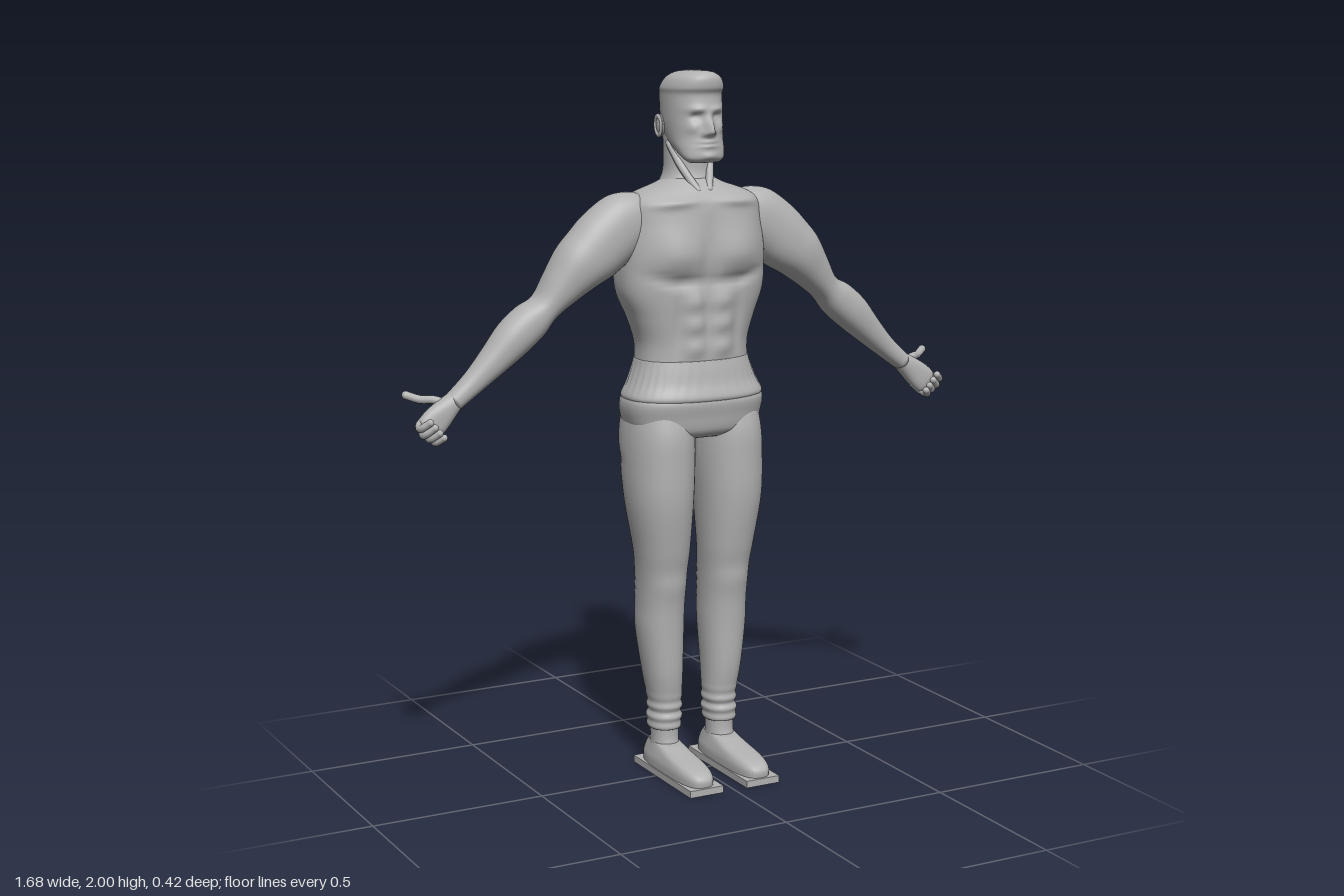
import * as THREE from 'three';
import { mergeGeometries } from 'three/addons/utils/BufferGeometryUtils.js';

const V = (x, y, z) => new THREE.Vector3(x, y, z);
const gauss = (v, c, s) => Math.exp(-(((v - c) / s) ** 2));
const clamp01 = (v) => Math.min(1, Math.max(0, v));

// Smooth skin over rings [y, centreX, halfWidth, zFront, zBack, exponent], bottom to top, with an optional sculpting rule.
function loft(rings, { seg = 48, sub = 5, sculpt } = {}) {
  const rows = [];
  const at = (i) => rings[Math.min(rings.length - 1, Math.max(0, i))];
  for (let i = 0; i < rings.length - 1; i++) {
    for (let k = 0; k < sub; k++) {
      const t = k / sub;
      rows.push([0, 1, 2, 3, 4, 5].map((c) => {
        const [a, b, d, e] = [i - 1, i, i + 1, i + 2].map((j) => at(j)[c] ?? 2.2);
        return 0.5 * (2 * b + (d - a) * t + (2 * a - 5 * b + 4 * d - e) * t * t + (3 * b - a - 3 * d + e) * t ** 3);
      }));
    }
  }
  rows.push(at(rings.length - 1).concat(2.2).slice(0, 6));
  const pos = [], index = [];
  const pw = (v, e) => Math.sign(v) * Math.abs(v) ** (2 / e);
  for (const [y, cx, hw, zf, zb, e] of rows) {
    for (let j = 0; j < seg; j++) {
      const a = (j / seg) * Math.PI * 2;
      const p = V(cx + hw * pw(Math.cos(a), e), y, (zf + zb) / 2 + ((zf - zb) / 2) * pw(Math.sin(a), e));
      if (sculpt) sculpt(p, a);
      pos.push(p.x, p.y, p.z);
    }
  }
  const last = rows.length - 1, n = rows.length * seg;
  for (const r of [rows[0], rows[last]]) pos.push(r[1], r[0], (r[3] + r[4]) / 2);
  for (let j = 0; j < seg; j++) {
    const k = (j + 1) % seg;
    for (let i = 0; i < last; i++) {
      const a = i * seg + j, b = i * seg + k;
      index.push(a, a + seg, b, b, a + seg, b + seg);
    }
    index.push(n, j, k, n + 1, last * seg + k, last * seg + j);
  }
  const g = new THREE.BufferGeometry();
  g.setAttribute('position', new THREE.Float32BufferAttribute(pos, 3));
  g.setIndex(index);
  g.computeVertexNormals();
  return g;
}

// Round-ended tube through points
function rod(points, r) {
  const parts = [new THREE.TubeGeometry(new THREE.CatmullRomCurve3(points), 14, r, 10)];
  for (const p of [points[0], points[points.length - 1]]) {
    parts.push(new THREE.SphereGeometry(r, 10, 8).translate(p.x, p.y, p.z));
  }
  return mergeGeometries(parts);
}

// Copy reflected across x = 0, with the faces turned back outward
function mirrored(g) {
  const m = g.clone().scale(-1, 1, 1);
  const ix = m.index.array;
  for (let i = 0; i < ix.length; i += 3) [ix[i], ix[i + 1]] = [ix[i + 1], ix[i]];
  m.computeVertexNormals();
  return m;
}

export function createModel() {
  const model = new THREE.Group();
  const grey = new THREE.MeshStandardMaterial({ color: 0xb2b2b2 });
  grey.name = 'plain grey';
  const add = (name, geo) => {
    const mesh = new THREE.Mesh(geo, grey);
    mesh.name = name;
    model.add(mesh);
  };
  const pair = (name, geo) => {
    add('left' + name, geo);
    add('right' + name, mirrored(geo));
  };

  // Head: hair ledge, brow, eye sockets, nose, mouth and chin pushed out of one skin
  add('head', loft([
    [1.752, 0, 0.045, 0.05, 0], [1.765, 0, 0.06, 0.06, -0.02], [1.79, 0, 0.069, 0.06, -0.07],
    [1.82, 0, 0.074, 0.056, -0.12], [1.86, 0, 0.078, 0.053, -0.145], [1.9, 0, 0.079, 0.052, -0.153],
    [1.935, 0, 0.079, 0.048, -0.154], [1.955, 0, 0.08, 0.057, -0.15], [1.98, 0, 0.068, 0.057, -0.13],
    [1.995, 0, 0.045, 0.043, -0.1], [2, 0, 0.02, 0.02, -0.06],
  ], {
    seg: 96, sub: 7, sculpt: (p) => {
      if (p.z < -0.01) return;
      const ax = Math.abs(p.x), y = p.y;
      p.z += 0.034 * gauss(ax, 0, 0.012) * gauss(y, 1.836, y < 1.836 ? 0.011 : 0.034)
        + 0.009 * gauss(ax, 0.015, 0.008) * gauss(y, 1.832, 0.009)
        + 0.008 * gauss(ax, 0.03, 0.024) * gauss(y, 1.896, 0.009)
        - 0.014 * gauss(ax, 0.031, 0.015) * gauss(y, 1.876, 0.011)
        + 0.006 * gauss(ax, 0.031, 0.009) * gauss(y, 1.873, 0.006)
        + 0.006 * gauss(ax, 0.045, 0.015) * gauss(y, 1.846, 0.014)
        + 0.01 * gauss(ax, 0, 0.024) * gauss(y, 1.803, 0.013)
        - 0.007 * gauss(ax, 0, 0.027) * gauss(y, 1.803, 0.003)
        + 0.008 * gauss(ax, 0, 0.022) * gauss(y, 1.77, 0.012);
    },
  }));
  pair('Ear', mergeGeometries([
    new THREE.SphereGeometry(1, 16, 12).scale(0.009, 0.032, 0.02),
    new THREE.TorusGeometry(0.018, 0.005, 8, 20).rotateY(Math.PI / 2).scale(1, 1.45, 1).translate(0.006, 0, 0),
  ]).rotateX(-0.15).translate(0.079, 1.848, -0.082));

  // Neck with its two front cords
  add('neck', loft([
    [1.62, 0, 0.1, 0.02, -0.16], [1.68, 0, 0.086, 0.01, -0.15], [1.72, 0, 0.069, -0.008, -0.138],
    [1.77, 0, 0.066, -0.01, -0.137], [1.83, 0, 0.066, -0.01, -0.14],
  ]));
  pair('NeckCord', rod([V(0.06, 1.8, -0.065), V(0.045, 1.74, -0.025), V(0.018, 1.675, 0.022)], 0.011));

  // Torso: chest, abdomen, collarbones and back muscles
  add('torso', loft([
    [1.18, 0, 0.166, 0.058, -0.163, 2.4], [1.25, 0, 0.165, 0.058, -0.165, 2.4], [1.32, 0, 0.186, 0.06, -0.172, 2.5],
    [1.4, 0, 0.216, 0.062, -0.187, 2.6], [1.5, 0, 0.217, 0.064, -0.193, 2.7], [1.58, 0, 0.206, 0.062, -0.188, 2.7],
    [1.635, 0, 0.198, 0.056, -0.172, 2.6], [1.665, 0, 0.17, 0.04, -0.155, 2.4], [1.69, 0, 0.1, 0.02, -0.145], [1.705, 0, 0.07, 0, -0.13],
  ], {
    seg: 96, sub: 7, sculpt: (p) => {
      const ax = Math.abs(p.x), y = p.y;
      if (p.z > -0.02) {
        const lower = 1.445 + 0.25 * Math.max(0, ax - 0.1);
        p.z += 0.02 * gauss(ax, 0.09, 0.075) * gauss(y, 1.5, y < 1.5 ? 0.045 : 0.075)
          - 0.014 * gauss(y, lower - 0.018, 0.014) * gauss(ax, 0.085, 0.08)
          - 0.009 * gauss(ax, 0, 0.012) * clamp01((y - 1.22) * 10) * clamp01((1.62 - y) * 10)
          + 0.012 * gauss(y, 1.65 - 0.05 * ax, 0.014) * gauss(ax, 0.1, 0.07);
        for (const row of [1.24, 1.305, 1.37]) p.z += 0.011 * gauss(ax, 0.042, 0.03) * gauss(y, row, 0.026);
        p.z -= 0.007 * gauss(ax, 0.09, 0.014) * gauss(y, 1.31, 0.08);
      } else {
        p.z += 0.016 * gauss(ax, 0, 0.025) * gauss(y, 1.42, 0.17)
          - 0.007 * gauss(ax, 0.1, 0.05) * gauss(y, 1.55, 0.06);
      }
    },
  }));

  // Ribbed waistband flaring over the hips
  add('waistband', loft([
    [1.09, 0, 0.2, 0.08, -0.18, 2.5], [1.105, 0, 0.205, 0.086, -0.183, 2.5], [1.14, 0, 0.188, 0.074, -0.174, 2.4],
    [1.18, 0, 0.173, 0.066, -0.169, 2.4], [1.205, 0, 0.166, 0.06, -0.165, 2.4],
  ], {
    seg: 144, sculpt: (p, a) => {
      const f = 1 + 0.008 * Math.cos(a * 36) * gauss(p.y, 1.15, 0.035);
      p.x *= f;
      p.z *= f;
    },
  }));

  // Seat bulges, shared by hips and thighs
  const seat = (p) => {
    if (p.z > -0.05) return;
    const ax = Math.abs(p.x);
    p.z += 0.035 * gauss(ax, 0, 0.028) * gauss(p.y, 1.01, 0.09)
      - 0.026 * gauss(ax, 0.1, 0.065) * gauss(p.y, 1.03, 0.065)
      + 0.008 * gauss(p.y, 0.915, 0.02);
  };
  add('hips', loft([
    [0.985, 0, 0.13, 0.04, -0.14, 2.6], [1.005, 0, 0.185, 0.068, -0.175, 2.6], [1.05, 0, 0.204, 0.078, -0.185, 2.6],
    [1.09, 0, 0.206, 0.084, -0.182, 2.6], [1.115, 0, 0.19, 0.07, -0.17, 2.5],
  ], { seg: 72, sculpt: seat }));

  // Legs with knee creases at the back and gathered cuffs
  pair('Leg', loft([
    [0.13, 0.09, 0.044, 0.002, -0.1], [0.145, 0.09, 0.047, 0.005, -0.105], [0.21, 0.089, 0.047, 0.006, -0.105],
    [0.3, 0.095, 0.055, 0.018, -0.12], [0.42, 0.1, 0.065, 0.023, -0.137], [0.5, 0.1, 0.066, 0.028, -0.138],
    [0.58, 0.1, 0.069, 0.035, -0.133], [0.66, 0.102, 0.076, 0.053, -0.131], [0.8, 0.109, 0.091, 0.074, -0.155],
    [0.92, 0.108, 0.097, 0.077, -0.178], [1, 0.106, 0.096, 0.074, -0.185], [1.08, 0.1, 0.09, 0.055, -0.165],
  ], {
    sub: 12, sculpt: (p, a) => {
      const cuff = 1 + 0.07 * Math.sin(p.y * 200) * gauss(p.y, 0.18, 0.035);
      p.x = 0.09 + (p.x - 0.09) * cuff;
      p.z = -0.05 + (p.z + 0.05) * cuff;
      const back = Math.max(0, -Math.sin(a));
      p.z -= 0.007 * back * Math.sin(p.y * 230) * gauss(p.y, 0.55, 0.035);
      p.z += 0.006 * Math.max(0, Math.sin(a)) * gauss(p.y, 0.56, 0.04);
      seat(p);
    },
  }));
  pair('Ankle', loft([[0.06, 0.09, 0.04, 0.01, -0.1], [0.1, 0.09, 0.038, -0.002, -0.092], [0.15, 0.09, 0.039, -0.002, -0.095]]));

  // Shoes on flat soles
  pair('Shoe', loft([
    [0.018, 0.09, 0.05, 0.206, -0.134, 3], [0.042, 0.09, 0.05, 0.205, -0.134, 3], [0.06, 0.09, 0.046, 0.175, -0.13, 2.8],
    [0.075, 0.09, 0.041, 0.09, -0.122, 2.5], [0.088, 0.09, 0.037, 0.02, -0.108],
  ]));
  pair('Sole', new THREE.BoxGeometry(0.105, 0.02, 0.354).translate(0.09, 0.01, 0.037));

  // Arms and hands, shaped along an upright axis and then swung out from the shoulder
  const swing = Math.atan2(-0.76, -0.65);
  const place = (g) => g.rotateZ(swing).translate(0.22, 1.56, 0);
  pair('Arm', place(loft([
    [-0.12, 0, 0.035, -0.03, -0.09], [-0.09, -0.004, 0.066, 0, -0.12], [-0.04, -0.012, 0.086, 0.012, -0.134],
    [0.04, -0.016, 0.09, 0.016, -0.137], [0.1, -0.016, 0.085, 0.017, -0.136], [0.16, -0.018, 0.074, 0.014, -0.135],
    [0.23, -0.01, 0.056, 0, -0.128], [0.295, 0, 0.042, -0.012, -0.125], [0.35, 0, 0.053, -0.012, -0.126],
    [0.42, 0, 0.053, -0.014, -0.125], [0.5, 0.005, 0.042, -0.024, -0.115], [0.58, 0.008, 0.032, -0.034, -0.105],
    [0.66, 0.006, 0.026, -0.037, -0.1],
  ])));
  pair('Palm', place(loft([
    [0.64, 0.006, 0.024, -0.04, -0.098], [0.67, 0.005, 0.03, -0.036, -0.095], [0.72, 0.005, 0.038, -0.035, -0.085, 2.6],
    [0.755, 0.006, 0.038, -0.036, -0.078, 2.6], [0.768, 0.006, 0.03, -0.044, -0.07],
  ], { seg: 28 })));
  const fingers = [-0.022, -0.002, 0.018, 0.036].map((x, i) => {
    const end = 0.782 - 0.005 * Math.abs(i - 1);
    return rod([V(x, 0.73, -0.06), V(x, end - 0.012, -0.058), V(x, end, -0.03), V(x, 0.75, -0.01)], 0.0105);
  });
  pair('Fingers', place(mergeGeometries(fingers)));
  pair('Thumb', rod([V(0.73, 1.125, -0.065), V(0.765, 1.137, -0.085), V(0.795, 1.137, -0.105), V(0.827, 1.148, -0.128)], 0.0115));

  return model;
}
